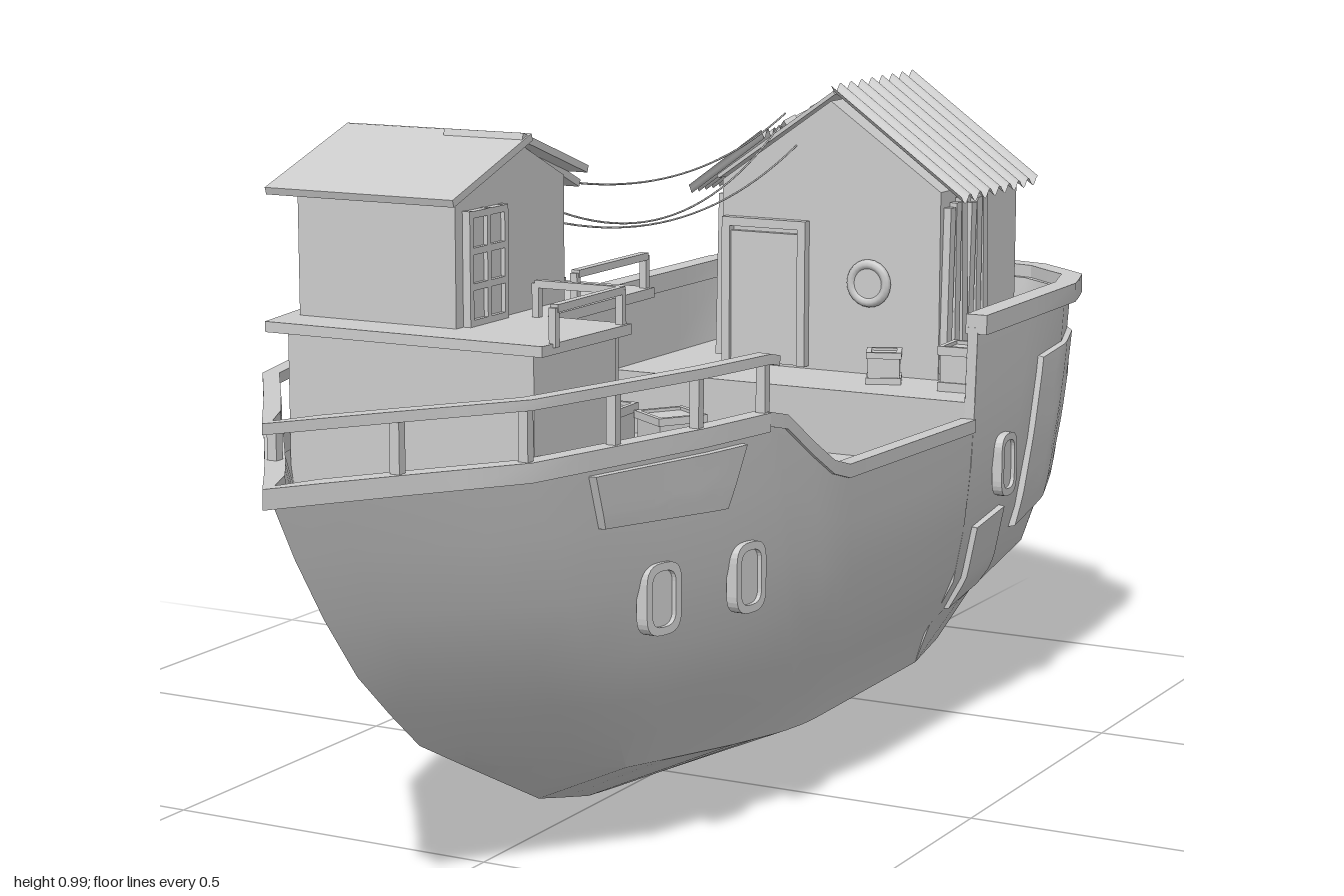
import * as THREE from 'three';
import { toCreasedNormals } from 'three/addons/utils/BufferGeometryUtils.js';

const mat = new THREE.MeshStandardMaterial({ color: 0xcccccc, side: THREE.DoubleSide });
const mesh = (name, geo, parent) => {
  const m = new THREE.Mesh(geo, mat);
  m.name = name;
  parent.add(m);
  return m;
};
const box = (parent, name, size, pos, rot = [0, 0, 0]) => {
  const m = mesh(name, new THREE.BoxGeometry(...size), parent);
  m.position.set(...pos);
  m.rotation.set(...rot);
  return m;
};
const mix = THREE.MathUtils.lerp;
// Linear look-up in a table sorted by its first column
const look = (t, v, c = 1) => {
  if (v <= t[0][0]) return t[0][c];
  for (let i = 1; i < t.length; i++) if (v <= t[i][0])
    return mix(t[i - 1][c], t[i][c], (v - t[i - 1][0]) / (t[i][0] - t[i - 1][0]));
  return t[t.length - 1][c];
};
// Skin a row of equal closed rings
const loft = (rings) => {
  const n = rings[0].length, idx = [];
  for (let i = 0; i < rings.length - 1; i++) for (let k = 0; k < n; k++) {
    const a = i * n + k, b = i * n + (k + 1) % n, c = b + n, d = a + n;
    idx.push(a, d, c, a, c, b);
  }
  const g = new THREE.BufferGeometry();
  g.setAttribute('position', new THREE.Float32BufferAttribute(rings.flat(2), 3));
  g.setIndex(idx);
  return toCreasedNormals(g, 0.5);
};
// Rectangular bar swept along points
const sweep = (pts, w, h) => {
  const rings = pts.map((p, i) => {
    const a = pts[Math.max(0, i - 1)], b = pts[Math.min(pts.length - 1, i + 1)];
    const l = Math.hypot(b[0] - a[0], b[2] - a[2]) || 1;
    const rx = (b[2] - a[2]) / l * w / 2, rz = -(b[0] - a[0]) / l * w / 2;
    return [[-1, 1], [1, 1], [1, -1], [-1, -1]].map(([s, t]) => [p[0] + s * rx, p[1] + t * h / 2, p[2] + s * rz]);
  });
  const cap = (p) => [p, p, p, p];
  return loft([cap(pts[0]), ...rings, cap(pts[pts.length - 1])]);
};
const roundRect = (w, h, r, S = THREE.Shape) => {
  const s = new S(), x = w / 2, y = h / 2;
  s.moveTo(-x + r, -y).lineTo(x - r, -y).quadraticCurveTo(x, -y, x, -y + r).lineTo(x, y - r)
    .quadraticCurveTo(x, y, x - r, y).lineTo(-x + r, y).quadraticCurveTo(-x, y, -x, y - r)
    .lineTo(-x, -y + r).quadraticCurveTo(-x, -y, -x + r, -y);
  return s;
};
const poly = (pts) => new THREE.Shape(pts.map((p) => new THREE.Vector2(...p)));
const extrude = (shape, depth) => new THREE.ExtrudeGeometry(shape, { depth, bevelEnabled: false, curveSegments: 6 });

// Hull form: plan outlines (high and low), levels [height, half width, stern z, bow z], keel and chine lines
const PLAN = [[0, 0], [0.02, 0.62], [0.057, 0.9], [0.103, 0.98], [0.288, 1], [0.56, 1], [0.63, 0.95], [0.7, 0.87], [0.853, 0.62], [0.925, 0.31], [1, 0]];
const LOW_STERN = [[0, 0], [0.02, 0.25], [0.057, 0.52], [0.103, 0.72], [0.2, 0.92], [0.288, 1]];
const LEVELS = [[0.12, 0.225, -0.8, 0.55], [0.23, 0.285, -0.86, 0.69], [0.33, 0.305, -0.9, 0.8], [0.43, 0.315, -0.93, 0.88], [0.52, 0.32, -0.95, 0.94], [0.6, 0.322, -0.965, 0.985], [0.63, 0.322, -0.97, 0.985]];
const KEEL = [[-0.8, 0.12], [-0.6, 0.06], [-0.35, 0.015], [0, 0], [0.2, 0.015], [0.35, 0.05], [0.55, 0.15]];
const CHINE = [[-0.8, 0.12], [-0.5, 0.1], [0, 0.095], [0.35, 0.115], [0.55, 0.15]];
const SHEER = [[-0.4, 0.63], [-0.399, 0.48], [0.06, 0.49], [0.11, 0.505], [0.16, 0.54], [0.22, 0.59], [0.26, 0.6]];
const DECK = [[-0.4, 0.515], [-0.399, 0.415], [0.239, 0.415], [0.241, 0.53]];
const STATIONS = [-0.96, -0.945, -0.921, -0.885, -0.85, -0.8, -0.76, -0.6, -0.4, -0.399, -0.2, 0, 0.06, 0.11, 0.16, 0.22, 0.239, 0.241, 0.26, 0.33, 0.4, 0.5, 0.6, 0.7, 0.77, 0.84, 0.92, 0.985];
const toS = (z) => (z + 0.96) / 1.945;
const at = (s, y) => {
  const low = s < 0.288 ? look(LOW_STERN, s) : look(PLAN, s);
  const plan = mix(low, look(PLAN, s), THREE.MathUtils.clamp((y - 0.12) / 0.13, 0, 1));
  return [look(LEVELS, y) * plan, y, mix(look(LEVELS, y, 2), look(LEVELS, y, 3), s)];
};
const hullX = (z, y) => at((z - look(LEVELS, y, 2)) / (look(LEVELS, y, 3) - look(LEVELS, y, 2)), y)[0];

function section(zTop) {
  const s = toS(zTop), top = look(SHEER, zTop), deck = look(DECK, zTop);
  const inset = (p, y) => [Math.max(0, p[0] - 0.016), y, p[2] - 0.013 * p[2] ** 3];
  const ch = at(s, 0.12), yc = look(CHINE, ch[2]);
  const half = [inset(at(s, deck), deck), inset(at(s, top), top)];
  for (const f of [1, 0.8, 0.6, 0.4, 0.25, 0.12]) half.push(at(s, yc + (top - yc) * f));
  half.push([ch[0], yc, ch[2]]);
  const mirror = half.map(([x, y, z]) => [-x, y, z]).reverse();
  return [...half, [0, look(KEEL, ch[2]), ch[2]], ...mirror];
}
// Run along the top of the hull, from one side round the end to the other
const edge = (z0, z1, dy, dx, stretch = 1) => {
  const side = STATIONS.filter((z) => z >= Math.min(z0, z1) && z <= Math.max(z0, z1)).map((z) => {
    const p = at(toS(z), look(SHEER, z));
    return [p[0] + (p[0] > 0.001 ? dx : 0), p[1] + dy, z0 + (p[2] - z0) * stretch];
  });
  if (z1 < z0) side.reverse();
  return [...side, ...side.slice(0, -1).reverse().map(([x, y, z]) => [-x, y, z])];
};
// Upright fitting set into the hull side
const fitting = (parent, name, side, z, y, shape, depth) => {
  const g = extrude(shape, depth), p = g.attributes.position;
  for (let i = 0; i < p.count; i++) {
    const pz = z - side * p.getX(i);
    p.setXYZ(i, side * (hullX(pz, y) + p.getZ(i)), y + p.getY(i), pz);
  }
  g.computeVertexNormals();
  mesh(name, g, parent);
};
// Thin plate wrapped on the hull between four [z, y] corners, its border sunk into the hull
const patch = (parent, name, side, [a, b, c, d]) => {
  const n = 12, g = new THREE.PlaneGeometry(1, 1, n, n), p = g.attributes.position;
  const tight = (t) => (t === 0 || t === n ? t / n : mix(0.01, 0.99, (t - 1) / (n - 2)));
  for (let i = 0; i < p.count; i++) {
    const j = i % (n + 1), k = Math.floor(i / (n + 1)), u = tight(side > 0 ? j : n - j), v = tight(n - k);
    const [z, y] = [0, 1].map((q) => mix(mix(a[q], b[q], u), mix(d[q], c[q], u), v));
    const border = j === 0 || j === n || k === 0 || k === n;
    p.setXYZ(i, side * (hullX(z, y) + (border ? -0.004 : 0.009)), y, z);
  }
  mesh(name, toCreasedNormals(g, 0.5), parent);
};
const porthole = (parent, pos, rotY) => {
  const g = new THREE.Group();
  g.name = 'roundWindow';
  mesh('windowRing', new THREE.TorusGeometry(0.03, 0.008, 8, 24), g);
  mesh('windowGlass', new THREE.CylinderGeometry(0.03, 0.03, 0.008, 24).rotateX(Math.PI / 2), g);
  g.position.set(...pos);
  g.rotation.y = rotY;
  parent.add(g);
};
// Ribbed sheet lying on a slope that falls along x
const ribbed = (parent, x0, y0, x1, y1, z0, z1, ribs) => {
  const g = new THREE.PlaneGeometry(1, 1, 1, ribs * 8), p = g.attributes.position;
  for (let i = 0; i < p.count; i++) {
    const u = p.getX(i) + 0.5, v = p.getY(i) + 0.5;
    p.setXYZ(i, mix(x0, x1, u), mix(y0, y1, u) + 0.007 * Math.cos(v * ribs * Math.PI * 2), mix(z0, z1, v));
  }
  g.computeVertexNormals();
  mesh('ribbedRoofSheet', g, parent);
};

export function createModel() {
  const ship = new THREE.Group();
  const sub = (name) => { const g = new THREE.Group(); g.name = name; ship.add(g); return g; };

  // Hull with decks, rims and bow rail
  const hull = sub('hull');
  mesh('hullShell', loft(STATIONS.map(section)), hull);
  mesh('sternRim', sweep(edge(-0.4, -0.96, 0.005, -0.003, 1.024), 0.034, 0.03), hull);
  mesh('bowRim', sweep(edge(0.26, 0.985, -0.004, -0.008), 0.026, 0.026), hull);
  for (const s of [1, -1]) {
    mesh('waistRim', sweep(edge(-0.399, 0.26, 0, -0.008).slice(0, 10).map(([x, y, z]) => [s * x, y, z]), 0.024, 0.02), hull);
    for (const z of [0.26, 0.4, 0.55, 0.7, 0.84]) box(hull, 'railPost', [0.014, 0.09, 0.014], [s * (hullX(z, 0.6) - 0.008), 0.64, z]);
    for (const [z, y] of [[0.445, 0.385], [0.28, 0.385], [-0.53, 0.4]]) {
      const ring = roundRect(0.062, 0.098, 0.026);
      ring.holes.push(roundRect(0.042, 0.076, 0.018, THREE.Path));
      fitting(hull, 'hullWindowFrame', s, z, y, ring, 0.016);
      fitting(hull, 'hullWindowGlass', s, z, y, roundRect(0.044, 0.078, 0.018), 0.01);
    }
    patch(hull, 'largeHullPatch', s, [[-0.615, 0.28], [-0.8, 0.33], [-0.885, 0.57], [-0.66, 0.55]]);
    patch(hull, 'smallHullPatch', s, [[-0.445, 0.18], [-0.55, 0.2], [-0.55, 0.33], [-0.445, 0.315]]);
    patch(hull, 'bowPatch', s, [[0.57, 0.5], [0.34, 0.49], [0.31, 0.575], [0.6, 0.575]]);
  }
  mesh('bowRail', sweep(edge(0.24, 0.985, 0.082, -0.006), 0.022, 0.014), hull);

  // Stern hut
  const hut = sub('sternHut');
  mesh('hutWalls', extrude(poly([[-0.19, 0.51], [0.19, 0.51], [0.19, 0.81], [0, 0.943], [-0.19, 0.81]]), 0.3).translate(0, 0, -0.86), hut);
  ribbed(hut, 0, 0.962, 0.225, 0.8, -0.865, -0.555, 8);
  ribbed(hut, -0.12, 0.885, -0.25, 0.79, -0.7, -0.555, 6);
  box(hut, 'smoothRoofSheet', [0.28, 0.008, 0.13], [-0.145, 0.862, -0.805], [0, 0, 0.61]);
  box(hut, 'underRoof', [0.25, 0.006, 0.29], [-0.1, 0.884, -0.71], [0, 0, 0.61]);
  const loose = new THREE.Group();
  loose.name = 'looseRoofPlanks';
  for (let i = 0; i < 4; i++) box(loose, 'plank', [0.2, 0.008, 0.022], [(i % 2) * 0.012, 0, (i - 1.5) * 0.026]);
  loose.position.set(-0.155, 0.872, -0.755);
  loose.rotation.set(0, -0.8, 0.61, 'ZYX');
  hut.add(loose);
  for (const s of [1, -1]) for (let i = 0; i < 6; i++)
    box(hut, 'wallBoard', [0.012, 0.26, 0.019], [s * 0.197, 0.655 + (i % 3) * 0.006, -0.575 - i * 0.027], [(i % 3 - 1) * 0.04, 0, 0]);
  box(hut, 'door', [0.12, 0.21, 0.012], [-0.11, 0.625, -0.556]);
  for (const x of [-0.177, -0.043]) box(hut, 'doorPost', [0.014, 0.225, 0.024], [x, 0.632, -0.556]);
  box(hut, 'doorLintel', [0.148, 0.014, 0.024], [-0.11, 0.745, -0.556]);
  porthole(hut, [0.07, 0.66, -0.557], 0);
  box(hut, 'wallPatch', [0.17, 0.17, 0.01], [-0.115, 0.64, -0.864], [0, 0, 0.04]);
  box(hut, 'wallPatch', [0.1, 0.05, 0.01], [0.02, 0.57, -0.866]);

  // Fore cabin, lower tier with platform
  const fore = sub('foreCabin');
  const flat = (name, pts, y, h) => mesh(name, extrude(poly(pts.map(([x, z]) => [x, -z])), h).rotateX(-Math.PI / 2).translate(0, y, 0), fore);
  flat('lowerCabin', [[-0.22, 0.23], [0.06, 0.23], [0.06, 0.47], [0.19, 0.47], [0.185, 0.67], [-0.185, 0.67], [-0.22, 0.55]], 0.52, 0.222);
  box(fore, 'lowerCabinFoot', [0.28, 0.12, 0.03], [-0.08, 0.475, 0.245]);
  flat('platform', [[-0.235, 0.2], [0.1, 0.2], [0.1, 0.49], [0.225, 0.49], [0.215, 0.7], [-0.2, 0.7], [-0.235, 0.5]], 0.742, 0.014);
  porthole(fore, [-0.01, 0.655, 0.229], 0);
  porthole(fore, [-0.16, 0.655, 0.229], 0);
  box(fore, 'hatchSheet', [0.16, 0.008, 0.07], [-0.1, 0.762, 0.27]);
  for (const path of [[[0.09, 0.8, 0.4], [0.09, 0.8, 0.21]], [[0.215, 0.8, 0.67], [0.215, 0.8, 0.5], [0.09, 0.8, 0.5]]]) {
    mesh('platformRail', sweep(path, 0.012, 0.01), fore);
    for (const [x, , z] of path) box(fore, 'platformRailPost', [0.01, 0.05, 0.01], [x, 0.776, z]);
  }

  // Fore cabin, upper tier
  mesh('upperCabin', extrude(poly([[-0.635, 0.75], [-0.36, 0.75], [-0.36, 0.925], [-0.48, 0.98], [-0.635, 0.925]]), 0.24).rotateY(Math.PI / 2).translate(-0.19, 0, 0), fore);
  const slope = (z0, y0, z1, y1, x, w, name) =>
    box(fore, name, [w, 0.01, Math.hypot(z1 - z0, y1 - y0)], [x, (y0 + y1) / 2, (z0 + z1) / 2], [Math.atan2(y0 - y1, z1 - z0), 0, 0]);
  slope(0.48, 0.988, 0.675, 0.922, -0.07, 0.285, 'frontRoof');
  slope(0.3, 0.907, 0.485, 0.988, -0.085, 0.25, 'rearRoof');
  slope(0.33, 0.931, 0.5, 0.99, 0.01, 0.12, 'looseRoofSheet');
  porthole(fore, [-0.192, 0.875, 0.44], Math.PI / 2);
  box(fore, 'cabinWindow', [0.008, 0.14, 0.08], [0.051, 0.83, 0.57]);
  for (const z of [0.527, 0.57, 0.613]) box(fore, 'windowUpright', [0.018, 0.15, 0.009], [0.052, 0.83, z]);
  for (const y of [0.76, 0.807, 0.853, 0.9]) box(fore, 'windowBar', [0.018, 0.009, 0.09], [0.052, y, 0.57]);

  // Lines slung between the roofs
  for (const [x0, x1, y0, y1, low] of [[-0.07, -0.09, 0.92, 0.9, 0.69], [-0.12, -0.06, 0.9, 0.87, 0.7], [-0.05, -0.08, 0.93, 0.92, 0.8]]) {
    const c = new THREE.QuadraticBezierCurve3(new THREE.Vector3(x0, y0, 0.36), new THREE.Vector3((x0 + x1) / 2, low, -0.15), new THREE.Vector3(x1, y1, -0.56));
    mesh('slungLine', new THREE.TubeGeometry(c, 30, 0.0015, 5), ship);
  }

  // Deck clutter
  const cargo = sub('deckCargo');
  for (const [x, y, z, s, h, r] of [[-0.25, 0.415, -0.27, 0.085, 0.07, 0.05], [-0.15, 0.415, -0.31, 0.085, 0.06, -0.6], [0.26, 0.515, -0.51, 0.07, 0.07, 0.05], [0.12, 0.515, -0.51, 0.055, 0.05, 0.4]]) {
    const g = new THREE.Group();
    g.name = 'crate';
    box(g, 'crateBody', [s * 0.9, h * 0.9, s * 0.9], [0, h * 0.47, 0]);
    for (let q = 0; q < 6; q += Math.PI / 2) for (const yy of [0.1, 0.9])
      box(g, 'crateSlat', [s, h * 0.2, 0.008], [Math.sin(q) * (s / 2 - 0.004), h * yy, Math.cos(q) * (s / 2 - 0.004)], [0, q, 0]);
    g.position.set(x, y, z);
    g.rotation.y = r;
    cargo.add(g);
  }
  box(cargo, 'standingLocker', [0.04, 0.17, 0.035], [-0.2, 0.5, 0.13]);
  const pallet = new THREE.Group();
  pallet.name = 'pallet';
  for (let i = 0; i < 6; i++) box(pallet, 'palletSlat', [0.2, 0.01, 0.028], [0, 0.03, (i - 2.5) * 0.035]);
  for (const x of [-0.08, 0, 0.08]) box(pallet, 'palletRunner', [0.02, 0.025, 0.2], [x, 0.013, 0]);
  pallet.position.set(-0.13, 0.415, -0.06);
  pallet.rotation.y = 0.65;
  cargo.add(pallet);
  return ship;
}
